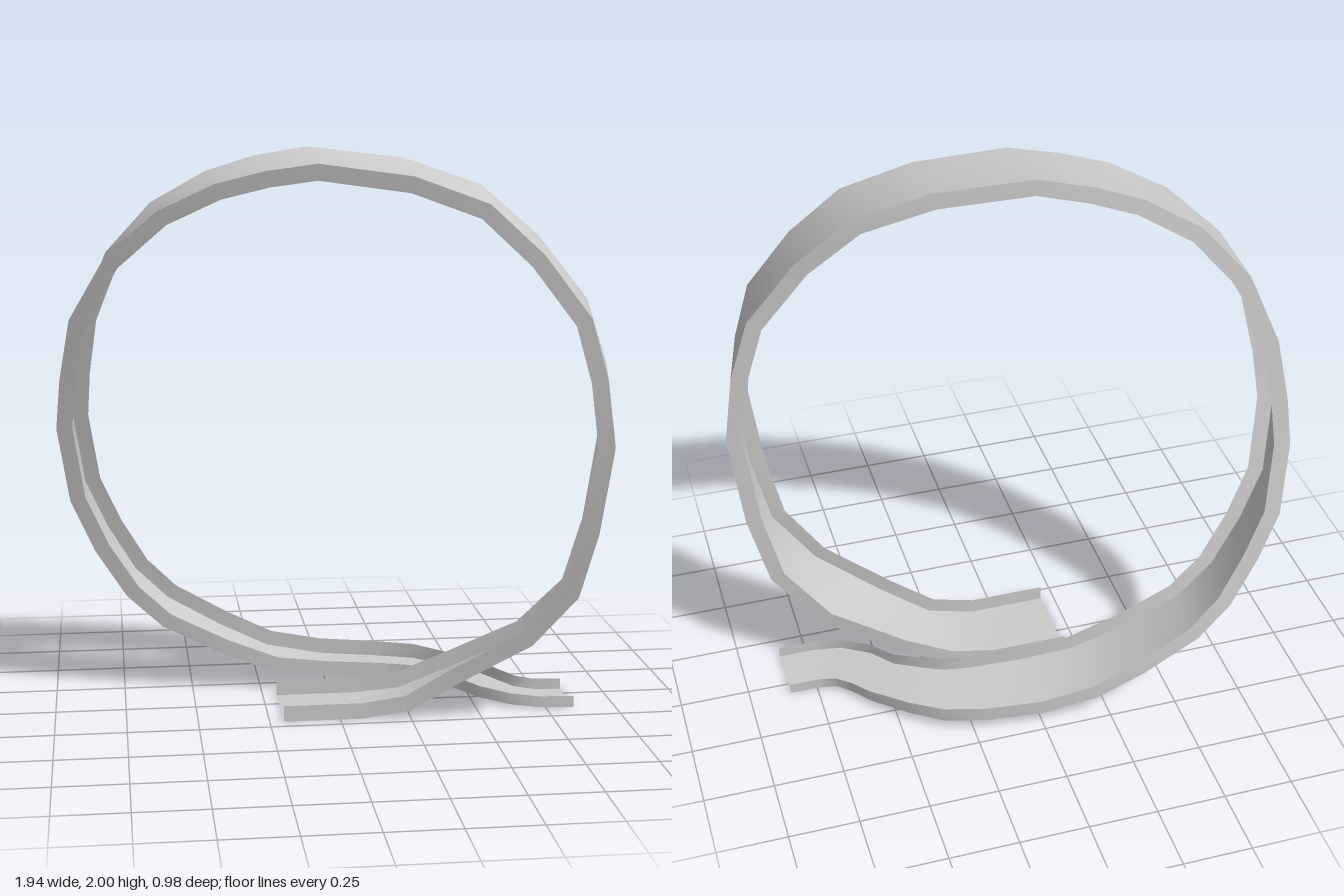
import * as THREE from 'three';

// Loop stations: back edge x, y, z, then radial and z offsets to the front edge
const LOOP = [
  [-0.2, 0, -0.1, 0, 0.3], [0.08, 0, -0.1, 0, 0.3], [0.25, 0.02, -0.08, -0.01, 0.3],
  [0.43, 0.1, -0.05, -0.04, 0.31], [0.7, 0.24, 0.03, -0.07, 0.32], [0.865, 0.43, 0.1, -0.08, 0.31],
  [0.93, 0.68, 0.14, -0.08, 0.31], [0.967, 1.01, 0.19, -0.075, 0.3], [0.93, 1.26, 0.19, -0.07, 0.3],
  [0.86, 1.48, 0.185, -0.065, 0.3], [0.69, 1.7, 0.15, -0.06, 0.3], [0.5, 1.87, 0.09, -0.055, 0.31],
  [0.24, 1.96, 0.03, -0.05, 0.32], [-0.09, 1.997, -0.04, -0.045, 0.325], [-0.27, 1.965, -0.085, -0.04, 0.33],
  [-0.44, 1.91, -0.12, -0.03, 0.33], [-0.63, 1.8, -0.17, -0.015, 0.32], [-0.79, 1.62, -0.23, 0.01, 0.31],
  [-0.88, 1.39, -0.3, 0.045, 0.3], [-0.91, 1.18, -0.35, 0.05, 0.29], [-0.92, 1.01, -0.385, 0.055, 0.285],
  [-0.88, 0.75, -0.44, 0.055, 0.28], [-0.8, 0.57, -0.46, 0.055, 0.28], [-0.7, 0.4, -0.48, 0.05, 0.28],
  [-0.58, 0.28, -0.49, 0.045, 0.285], [-0.38, 0.165, -0.49, 0.03, 0.295], [-0.2, 0.08, -0.48, 0.015, 0.3],
  [0, 0.045, -0.465, 0, 0.3], [0.2, 0.037, -0.435, 0, 0.29],
];
// Exit stations: back edge x, z, front edge x, z, then height and rail height
const EXIT = [
  [0.35, -0.39, 0.29, -0.125, 0.035, 0.055], [0.46, -0.31, 0.37, -0.08, 0.03, 0.05],
  [0.58, -0.2, 0.45, -0.03, 0.024, 0.045], [0.63, -0.13, 0.52, 0.06, 0.018, 0.042],
  [0.68, -0.075, 0.62, 0.13, 0.01, 0.04], [0.74, -0.055, 0.72, 0.155, 0.003, 0.04],
  [0.85, -0.05, 0.85, 0.16, 0, 0.04],
];

function stations() {
  const list = LOOP.map(([x, y, z, dr, dz]) => {
    const back = new THREE.Vector3(x, y, z);
    const out = new THREE.Vector3(x, y - 1, 0).normalize();
    const front = back.clone().addScaledVector(out, dr);
    front.z += dz;
    return { back, front, rail: 0.057 };
  });
  for (const [bx, bz, fx, fz, y, rail] of EXIT) {
    list.push({ back: new THREE.Vector3(bx, y, bz), front: new THREE.Vector3(fx, y, fz), rail });
  }
  // Rail tops rise at right angles to the floor, toward the inside of the loop
  const mid = list.map((s) => s.back.clone().add(s.front).multiplyScalar(0.5));
  list.forEach((s, i) => {
    const along = mid[Math.min(i + 1, mid.length - 1)].clone().sub(mid[Math.max(i - 1, 0)]);
    const up = s.front.clone().sub(s.back).cross(along).normalize().multiplyScalar(s.rail);
    s.backTop = s.back.clone().add(up);
    s.frontTop = s.front.clone().add(up);
  });
  return list;
}

// Ribbon between two edges, smooth along its length
function ribbon(name, left, right, material) {
  const points = [];
  const index = [];
  left.forEach((p, i) => {
    points.push(p, right[i]);
    if (i) {
      const a = 2 * i - 2;
      index.push(a, a + 1, a + 2, a + 1, a + 3, a + 2);
    }
  });
  const geometry = new THREE.BufferGeometry().setFromPoints(points);
  geometry.setIndex(index);
  geometry.computeVertexNormals();
  const mesh = new THREE.Mesh(geometry, material);
  mesh.name = name;
  return mesh;
}

export function createModel() {
  const group = new THREE.Group();
  group.name = 'loopTrack';
  const material = new THREE.MeshStandardMaterial({ color: 0xcccccc, side: THREE.DoubleSide });
  const list = stations();
  const edge = (key) => list.map((s) => s[key]);
  // Channel track: floor with a low rail on each side
  group.add(
    ribbon('trackFloor', edge('back'), edge('front'), material),
    ribbon('backRail', edge('backTop'), edge('back'), material),
    ribbon('frontRail', edge('front'), edge('frontTop'), material),
  );
  return group;
}
